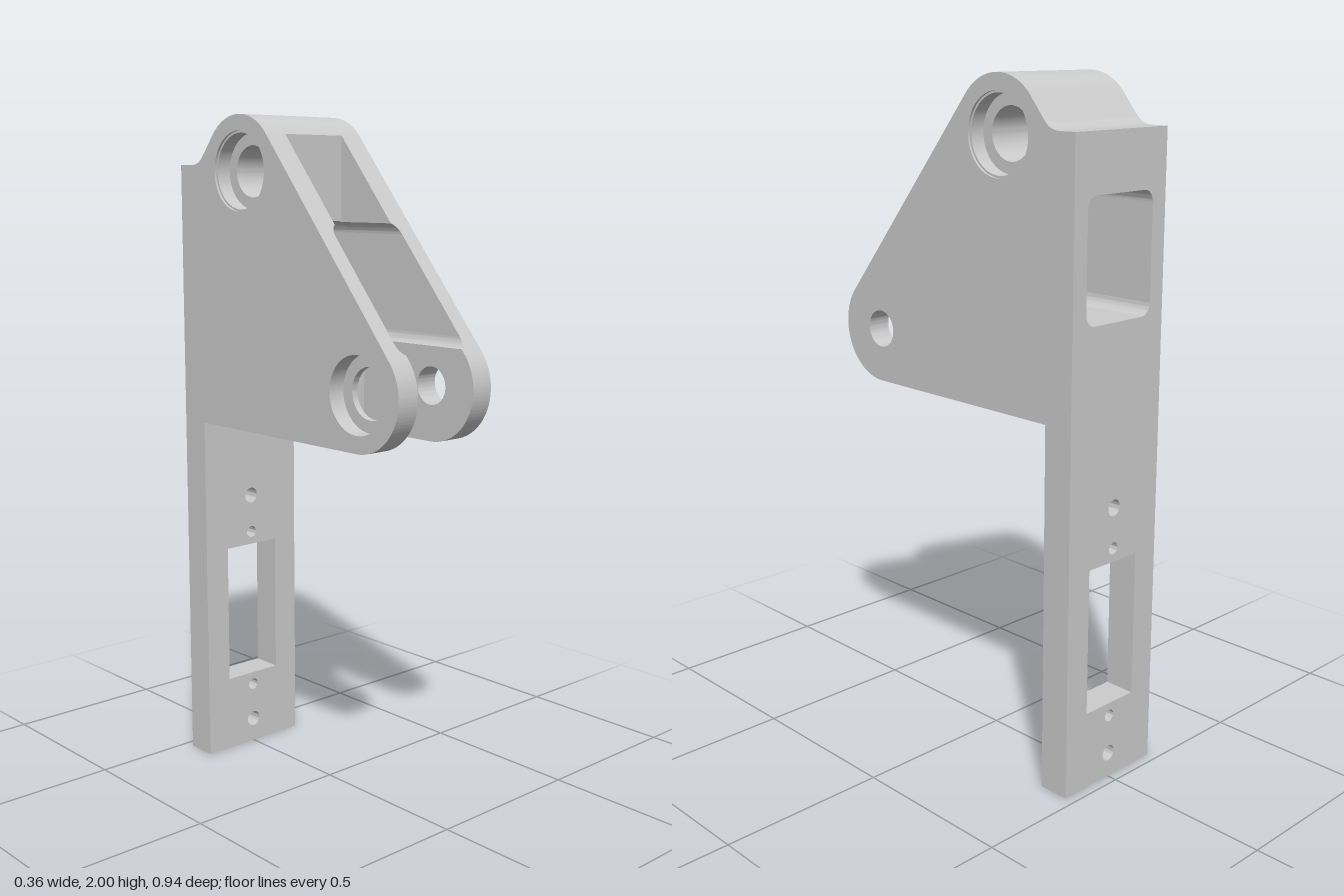
import * as THREE from 'three';
import { toCreasedNormals } from 'three/addons/utils/BufferGeometryUtils.js';

const material = new THREE.MeshStandardMaterial({ color: 0xcccccc });

// Main dimensions
const HALF = 0.18, TUNNEL = 0.128, SLOT = 0.108, RIM = 0.173; // half widths across x
const BACK = -0.469, PLATE_FRONT = -0.375, WALL = 0.034;      // depths along z
const BASE = 1.085, LOW = 1.355, HIGH = 1.697;                // heights along y
const TOP = { z: -0.19, y: 1.84 }, PIVOT = { z: 0.309, y: 1.245 }, R = 0.16;
const TILT = Math.atan2(PIVOT.z - TOP.z, TOP.y - PIVOT.y); // angle of the sloped edge's normal
const tangent = { z: PIVOT.z + R * Math.cos(TILT), y: PIVOT.y + R * Math.sin(TILT) };
const slopeZ = (y) => tangent.z - (y - tangent.y) * Math.tan(TILT);
const HUB_FRONT = slopeZ(TOP.y + R * Math.sin(TILT));

function extrude(shape, depth) {
  return new THREE.ExtrudeGeometry(shape, { depth, bevelEnabled: false, curveSegments: 32 });
}

function addMesh(group, name, geometry) {
  const mesh = new THREE.Mesh(toCreasedNormals(geometry, 0.5), material);
  mesh.name = name;
  group.add(mesh);
}

// Holes run counter-clockwise so that their walls face inwards
function hole(shape, u, v, r) {
  shape.holes.push(new THREE.Path().absarc(u, v, r, 0, Math.PI * 2, false));
}

// Side profile (z, y) extruded across the width from x0 to x1
function slice(group, name, shape, x0, x1) {
  addMesh(group, name, extrude(shape, x1 - x0).rotateY(-Math.PI / 2).translate(x1, 0, 0));
}

// Upper outline: from the back, over the rounded top, to the start of the slope
function startTop(bottom) {
  const s = new THREE.Shape();
  s.moveTo(BACK, bottom);
  s.lineTo(BACK, 1.86);
  s.lineTo(-0.415, 1.86);
  s.quadraticCurveTo(-0.382, 1.86, -0.361, 1.885);
  s.absarc(TOP.z, TOP.y, R, Math.PI - TILT, TILT, true);
  return s;
}

// Rounded nose around the pivot, ending on the underside
function endNose(s) {
  s.absarc(PIVOT.z, PIVOT.y, R, TILT, -Math.PI / 2, true);
  s.lineTo(BACK, BASE);
  return s;
}

function rectangle(x0, y0, x1, y1, Type = THREE.Shape) {
  return new Type([[x0, y0], [x1, y0], [x1, y1], [x0, y1]].map((p) => new THREE.Vector2(...p)));
}

// Concave corner of the tunnel, from its side wall in to x = inner
function cornerShape(side, edge, up, inner) {
  const r = 0.034, points = [new THREE.Vector2(side * TUNNEL, edge)];
  const sweep = Math.acos((inner - TUNNEL + r) / r);
  for (let i = 0; i <= 12; i++) {
    const a = (i / 12) * sweep;
    points.push(new THREE.Vector2(side * (TUNNEL - r + r * Math.cos(a)), edge - up * r * (1 - Math.sin(a))));
  }
  if (inner === SLOT) points.push(new THREE.Vector2(side * SLOT, edge));
  return new THREE.Shape(points);
}

export function createModel() {
  const model = new THREE.Group();
  model.name = 'bracket';

  // Mounting plate with a rectangular opening and screw holes
  const plate = rectangle(-HALF, 0, HALF, BASE);
  plate.holes.push(rectangle(-0.097, 0.235, 0.097, 0.67, THREE.Path));
  for (const [y, r] of [[0.83, 0.024], [0.71, 0.018], [0.195, 0.018], [0.075, 0.024]]) hole(plate, 0, y, r);
  addMesh(model, 'mountingPlate', extrude(plate, PLATE_FRONT - BACK).translate(0, 0, BACK));

  for (const side of [1, -1]) {
    const label = side > 0 ? 'left' : 'right';
    const span = (a, b) => (side > 0 ? [a, b] : [-b, -a]);

    // Outer cheek with bearing pockets; the upper pocket widens at its rim
    for (const [x0, x1, r] of [[TUNNEL, RIM, 0.108], [RIM, HALF, 0.114]]) {
      const outer = endNose(startTop(BASE));
      hole(outer, TOP.z, TOP.y, r);
      hole(outer, PIVOT.z, PIVOT.y, side > 0 ? 0.055 : 0.11);
      slice(model, label + 'Cheek', outer, ...span(x0, x1));
    }

    // Inner cheek layer, above and below the tunnel
    const upper = startTop(HIGH);
    upper.lineTo(slopeZ(HIGH), HIGH);
    hole(upper, TOP.z, TOP.y, 0.074);
    slice(model, label + 'CheekInnerTop', upper, ...span(SLOT, TUNNEL));

    const lower = new THREE.Shape();
    lower.moveTo(BACK, BASE);
    lower.lineTo(BACK, LOW);
    lower.lineTo(slopeZ(LOW), LOW);
    endNose(lower);
    hole(lower, PIVOT.z, PIVOT.y, side > 0 ? 0.055 : 0.074);
    slice(model, label + 'CheekInnerBottom', lower, ...span(SLOT, TUNNEL));

    // Rounded tunnel corners: full behind the slot, then trimmed to the cheek and slope
    for (const [edge, up, front] of [[HIGH, 1, HUB_FRONT], [LOW, -1, WALL]]) {
      const full = extrude(cornerShape(side, edge, up, TUNNEL - 0.034), front - BACK);
      addMesh(model, label + 'TunnelCorner', full.translate(0, 0, BACK));

      const trimmed = extrude(cornerShape(side, edge, up, SLOT), 1);
      const p = trimmed.attributes.position;
      for (let i = 0; i < p.count; i++) p.setZ(i, p.getZ(i) < 0.5 ? front : slopeZ(p.getY(i)));
      trimmed.computeVertexNormals();
      addMesh(model, label + 'TunnelCornerFront', trimmed);
    }
  }

  // Solid hub between the cheeks, above the tunnel
  const hub = startTop(HIGH);
  hub.lineTo(HUB_FRONT, HIGH);
  hole(hub, TOP.z, TOP.y, 0.074);
  slice(model, 'topHub', hub, -SLOT, SLOT);

  // Block below the tunnel, with a stepped pocket in its underside
  for (const [y0, y1, r] of [[BASE, 1.14, 0.092], [1.14, 1.2, 0.06], [1.2, LOW, 0]]) {
    const layer = rectangle(-SLOT, -WALL, SLOT, -BACK);
    if (r) hole(layer, 0, 0.08, r);
    addMesh(model, 'lowerBlock', extrude(layer, y1 - y0).rotateX(-Math.PI / 2).translate(0, y0, 0));
  }

  return model;
}
